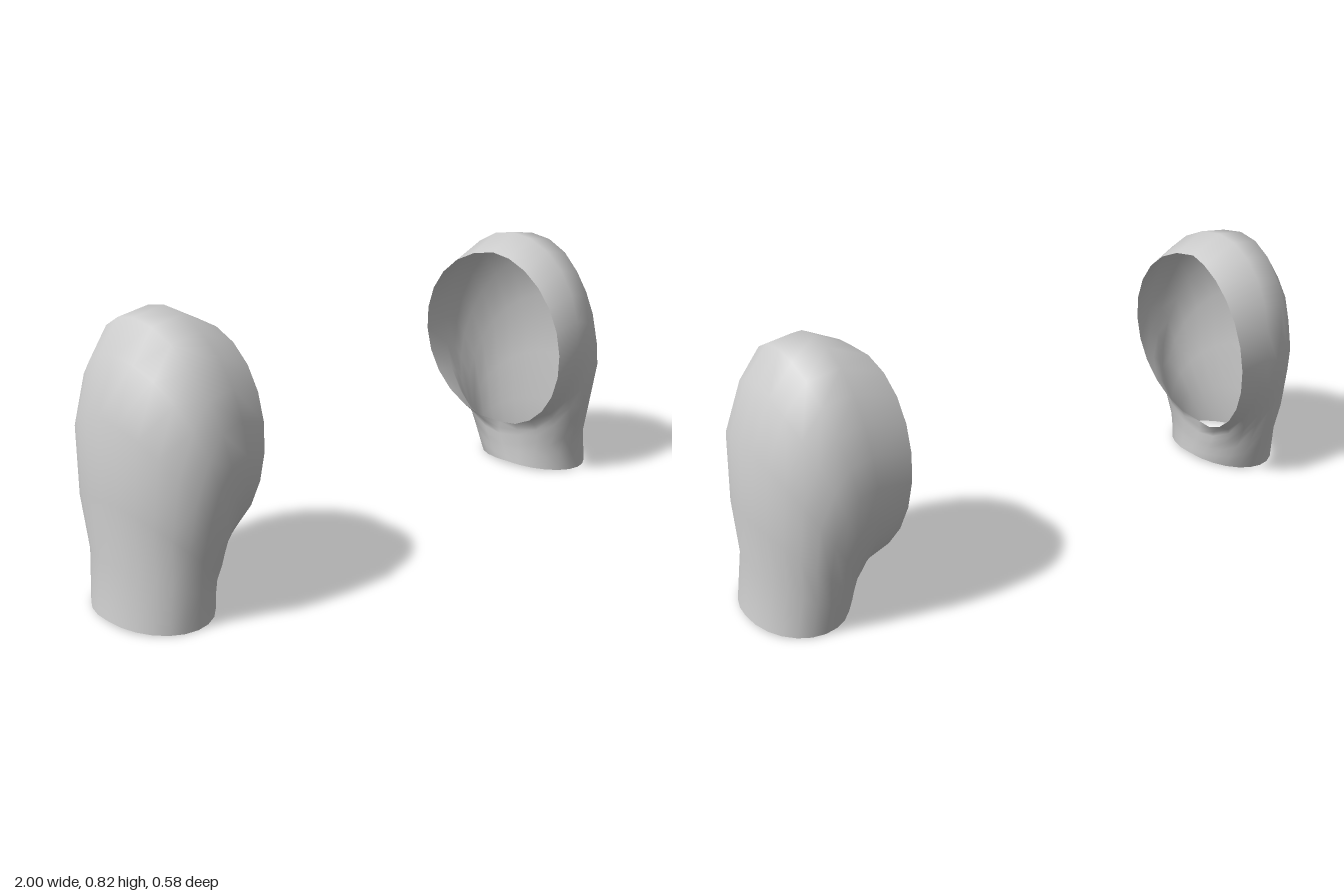
import * as THREE from 'three';

// Rings swept from the armhole to the cuff:
// outer point (x, y), underarm point (x, y), front z, back z, z of the ring's crest
const RINGS = [
  [0.63, 0.77, 0.70, 0.15, 0.272, -0.285, -0.01],
  [0.735, 0.825, 0.702, 0.125, 0.292, -0.288, -0.015],
  [0.84, 0.81, 0.702, 0.105, 0.291, -0.284, -0.01],
  [0.91, 0.72, 0.702, 0.088, 0.288, -0.274, -0.005],
  [0.97, 0.57, 0.702, 0.07, 0.28, -0.25, 0],
  [0.985, 0.35, 0.702, 0.05, 0.247, -0.225, 0.01],
  [0.976, 0.17, 0.701, 0.03, 0.228, -0.2, 0.02],
  [1.0, 0.01, 0.70, 0.01, 0.225, -0.175, 0.025],
];
const SEGMENTS = 24;

function sleeveGeometry(side) {
  const positions = [];
  const indices = [];
  RINGS.forEach(([ox, oy, ux, uy, front, back, crest], i) => {
    for (let j = 0; j < SEGMENTS; j++) {
      const a = (j / SEGMENTS) * Math.PI * 2;
      const t = (1 - Math.cos(a)) / 2;
      const s = Math.sin(a);
      let x = ox + (ux - ox) * t;
      let y = oy + (uy - oy) * t;
      const z = crest + s * (s > 0 ? front - crest : crest - back);
      // the armhole edge bows inward, more at the back
      if (i === 0) x -= Math.pow(Math.abs(s), 0.8) * (s > 0 ? 0.02 : 0.052);
      // the cuff dips slightly at front and back
      if (i === RINGS.length - 1) y -= 0.01 * Math.abs(s);
      positions.push(side * x, y, z);
    }
  });
  for (let i = 0; i < RINGS.length - 1; i++) {
    for (let j = 0; j < SEGMENTS; j++) {
      const k = (j + 1) % SEGMENTS;
      const a = i * SEGMENTS + j, b = i * SEGMENTS + k;
      const c = a + SEGMENTS, d = b + SEGMENTS;
      if (side > 0) indices.push(a, b, c, b, d, c);
      else indices.push(a, c, b, b, c, d);
    }
  }
  const geometry = new THREE.BufferGeometry();
  geometry.setAttribute('position', new THREE.Float32BufferAttribute(positions, 3));
  geometry.setIndex(indices);
  geometry.computeVertexNormals();
  return geometry;
}

export function createModel() {
  const group = new THREE.Group();
  group.name = 'sleeves';
  const material = new THREE.MeshStandardMaterial({ color: 0xcccccc, side: THREE.DoubleSide });
  // a mirrored pair of open sleeve shells
  for (const side of [1, -1]) {
    const sleeve = new THREE.Mesh(sleeveGeometry(side), material);
    sleeve.name = side > 0 ? 'leftSleeve' : 'rightSleeve';
    group.add(sleeve);
  }
  return group;
}
